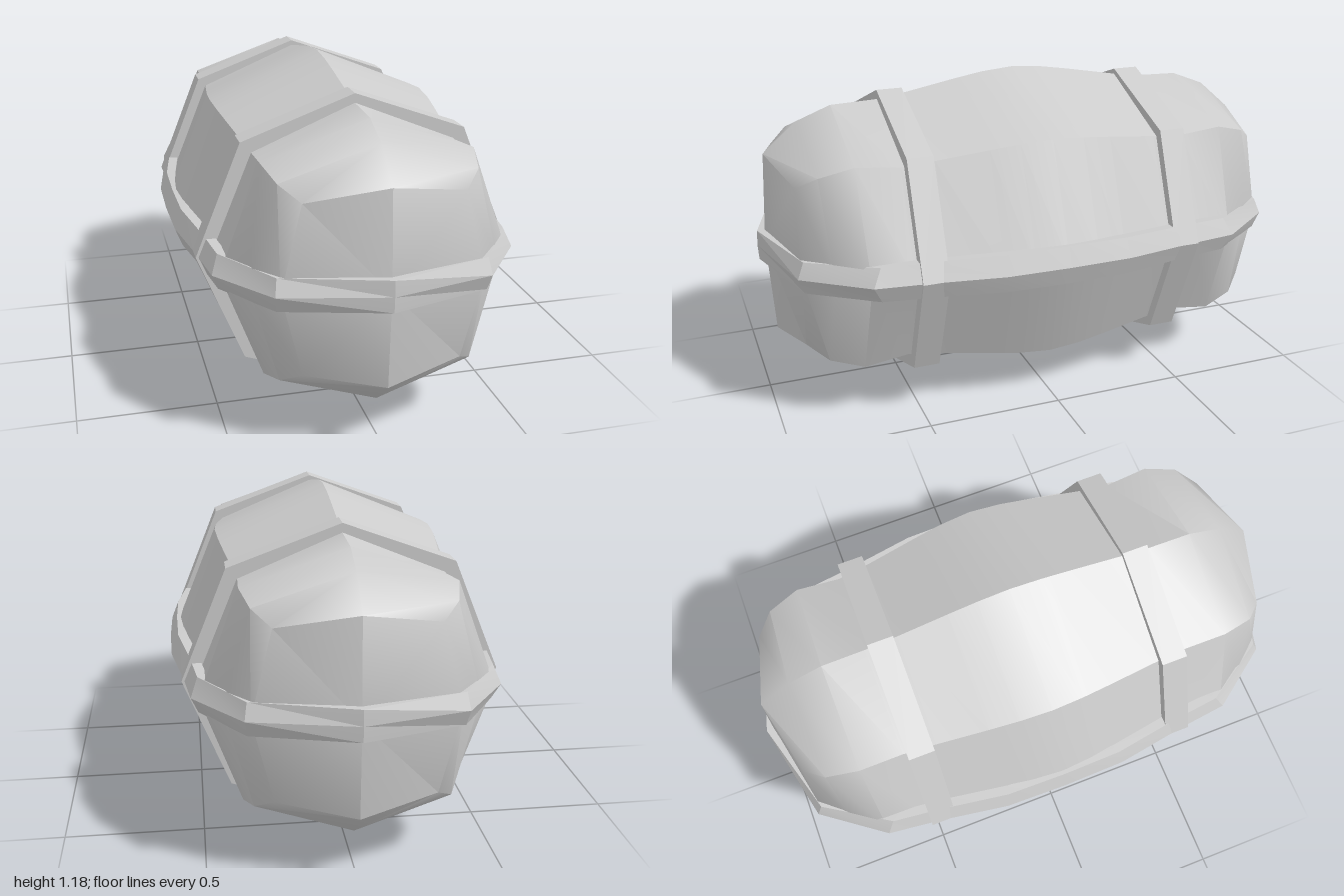
import * as THREE from 'three';
import { toCreasedNormals } from 'three/addons/utils/BufferGeometryUtils.js';

const CY = 0.588; // height of the long axis
const material = new THREE.MeshStandardMaterial({ color: 0xcccccc });

// Skin a row of closed cross-sections; each section is a list of [x, y, z]
function loft(sections, loop, creaseAngle) {
  const n = sections[0].length;
  const indices = [];
  const rows = loop ? sections.length : sections.length - 1;
  for (let s = 0; s < rows; s++) {
    const t = (s + 1) % sections.length;
    for (let i = 0; i < n; i++) {
      const j = (i + 1) % n;
      const a = s * n + i, b = s * n + j, c = t * n + j, d = t * n + i;
      indices.push(a, b, c, a, c, d);
    }
  }
  const geometry = new THREE.BufferGeometry();
  geometry.setAttribute('position', new THREE.Float32BufferAttribute(sections.flat(2), 3));
  geometry.setIndex(indices);
  return toCreasedNormals(geometry, creaseAngle);
}

function part(name, geometry) {
  const mesh = new THREE.Mesh(geometry, material);
  mesh.name = name;
  mesh.position.y = CY;
  return mesh;
}

// Eight points from the side, corner and top point of one quadrant
function eightSided(side, corner, top) {
  const [sx, sz] = side, [cx, cy, cz] = corner, [ty, tz] = top;
  return [[sx, 0, sz], [cx, cy, cz], [0, ty, tz], [-cx, cy, cz],
    [-sx, 0, sz], [-cx, -cy, cz], [0, -ty, tz], [cx, -cy, cz]];
}

// Bulging eight-sided shell with rounded-off ends
function shellGeometry() {
  const regular = (r, z) => {
    const d = r * Math.SQRT1_2;
    return eightSided([r, z], [d, d, z], [r, z]);
  };
  const frontHalf = [
    regular(0.578, 0.12), regular(0.56, 0.23), regular(0.525, 0.42), regular(0.508, 0.54),
    eightSided([0.505, 0.69], [0.365, 0.377, 0.7], [0.503, 0.7]),
    eightSided([0.43, 0.8], [0.335, 0.343, 0.82], [0.452, 0.83]),
    eightSided([0.345, 0.9], [0.272, 0.297, 0.89], [0.346, 0.953]),
    eightSided([0, 0.972], [0, 0, 0.972], [0, 0.972]),
  ];
  const backHalf = frontHalf.map(sec => sec.map(([x, y, z]) => [x, y, -z])).reverse();
  return loft([...backHalf, regular(0.588, 0), ...frontHalf], false, THREE.MathUtils.degToRad(40));
}

// Flat eight-sided hoop
function hoopGeometry() {
  const outline = (k) => eightSided([0.56 * k, 0], [0.398 * k, 0.398 * k, 0], [0.543 * k, 0])
    .map(([x, y]) => new THREE.Vector2(x, y));
  const shape = new THREE.Shape(outline(1));
  shape.holes.push(new THREE.Path(outline(0.87)));
  const geometry = new THREE.ExtrudeGeometry(shape, { depth: 0.095, bevelEnabled: false });
  return geometry.translate(0, 0, -0.0475);
}

// Belt round the long way, with a ridge along its middle
function beltGeometry() {
  // x, z of the ridge, half height, inset of the upper and lower edges
  const quarter = [
    [0, 1, 0.056, 0.997], [0.365, 0.915, 0.058, 0.975], [0.53, 0.69, 0.063, 0.955],
    [0.553, 0.5, 0.066, 0.955], [0.595, 0.235, 0.07, 0.955], [0.6, 0, 0.072, 0.955],
  ];
  const half = [...quarter, ...quarter.slice(0, -1).reverse().map(([x, z, h, k]) => [x, -z, h, k])];
  const path = [...half, ...half.slice(1, -1).reverse().map(([x, z, h, k]) => [-x, z, h, k])];
  const sections = path.map(([x, z, h, k]) => {
    const inner = 0.9;
    return [[x * inner, h, z * inner], [x * k, h, z * k], [x, 0, z],
      [x * k, -h, z * k], [x * inner, -h, z * inner]];
  });
  return loft(sections, true, THREE.MathUtils.degToRad(20));
}

export function createModel() {
  const group = new THREE.Group();
  group.name = 'capsule';
  group.add(part('shell', shellGeometry()));
  group.add(part('belt', beltGeometry()));

  // One hoop near each end
  for (const [name, z] of [['frontHoop', 0.48], ['backHoop', -0.48]]) {
    const hoop = part(name, hoopGeometry());
    hoop.position.z = z;
    group.add(hoop);
  }
  return group;
}
